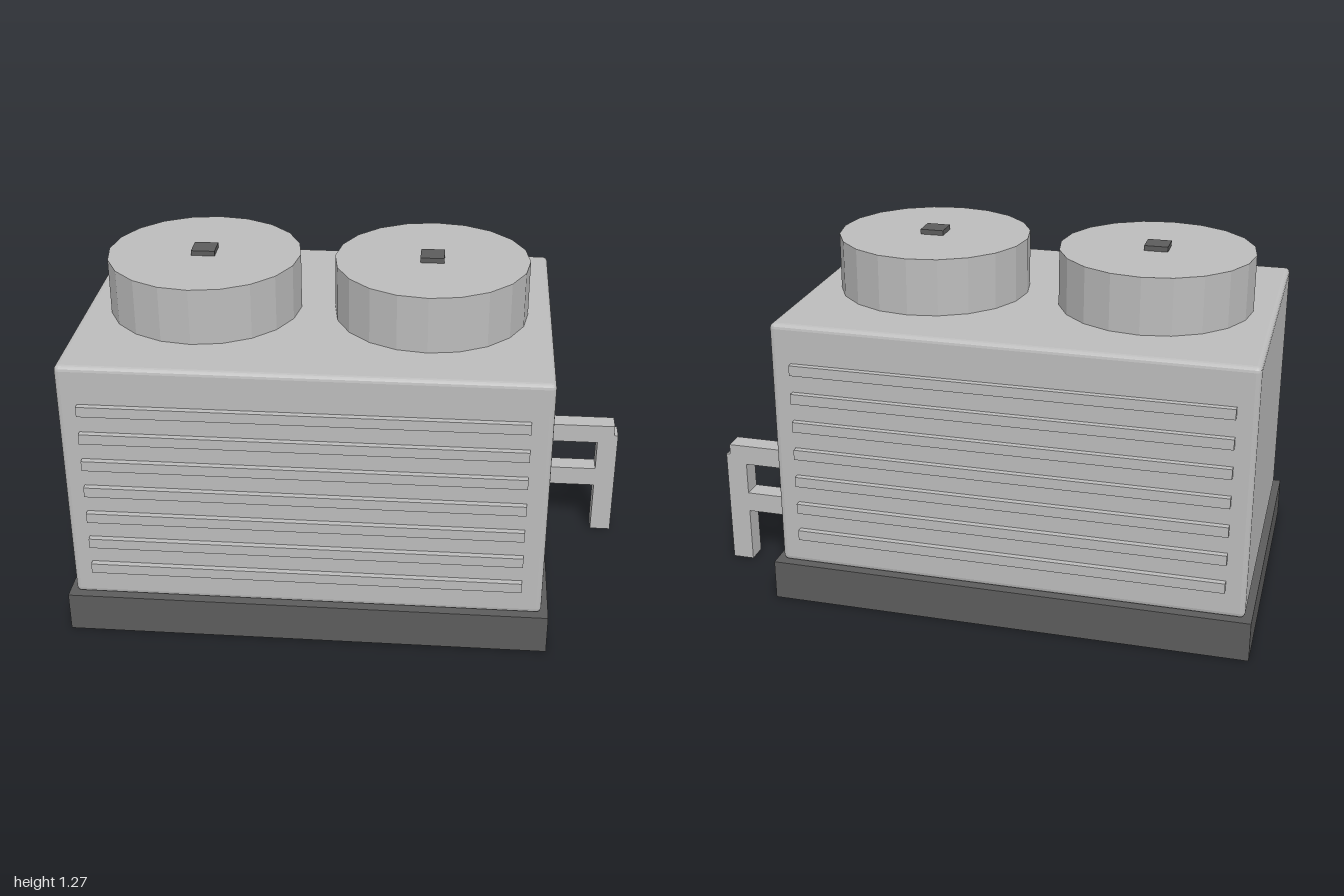
import * as THREE from 'three';
import { RoundedBoxGeometry } from 'three/addons/geometries/RoundedBoxGeometry.js';

export function createModel() {
  const group = new THREE.Group();
  const casing = new THREE.MeshStandardMaterial({ color: 0xbcbcbc, flatShading: true });
  casing.name = 'light grey metal';
  const dark = new THREE.MeshStandardMaterial({ color: 0x5c5c5c, flatShading: true });
  dark.name = 'dark grey';

  const add = (name, geometry, material, x, y, z) => {
    const mesh = new THREE.Mesh(geometry, material);
    mesh.name = name;
    mesh.position.set(x, y, z);
    group.add(mesh);
  };

  // Box given by its limits on each axis
  const box = (name, material, [x0, x1], [y0, y1], [z0, z1]) =>
    add(name, new THREE.BoxGeometry(x1 - x0, y1 - y0, z1 - z0), material,
      (x0 + x1) / 2, (y0 + y1) / 2, (z0 + z1) / 2);

  // Plinth and cabinet with softened edges
  box('base', dark, [-1, 0.72], [0, 0.145], [-0.575, 0.575]);
  add('cabinet', new RoundedBoxGeometry(1.67, 0.91, 1.1, 2, 0.018), casing, -0.14, 0.6, 0);

  // Louvre slats on front and back
  for (const side of [1, -1]) {
    for (let i = 0; i < 7; i++) {
      add(side > 0 ? 'frontSlat' : 'backSlat', new THREE.BoxGeometry(1.525, 0.037, 0.04),
        casing, -0.142, 0.265 + i * 0.1055, side * 0.552);
    }
  }

  // Fan housings with square hubs
  for (const x of [-0.547, 0.265]) {
    add('fanHousing', new THREE.CylinderGeometry(0.345, 0.345, 0.217, 20), casing, x, 1.1485, 0);
    box('fanHub', dark, [x - 0.042, x + 0.042], [1.24, 1.275], [-0.042, 0.042]);
  }

  // Pipework on the left side
  const pipeZ = [-0.325, -0.25];
  box('upperPipe', casing, [0.66, 0.985], [0.398, 0.472], pipeZ);
  box('lowerPipe', casing, [0.66, 0.94], [0.204, 0.279], pipeZ);
  box('downPipe', casing, [0.922, 1], [0, 0.432], pipeZ);

  return group;
}
